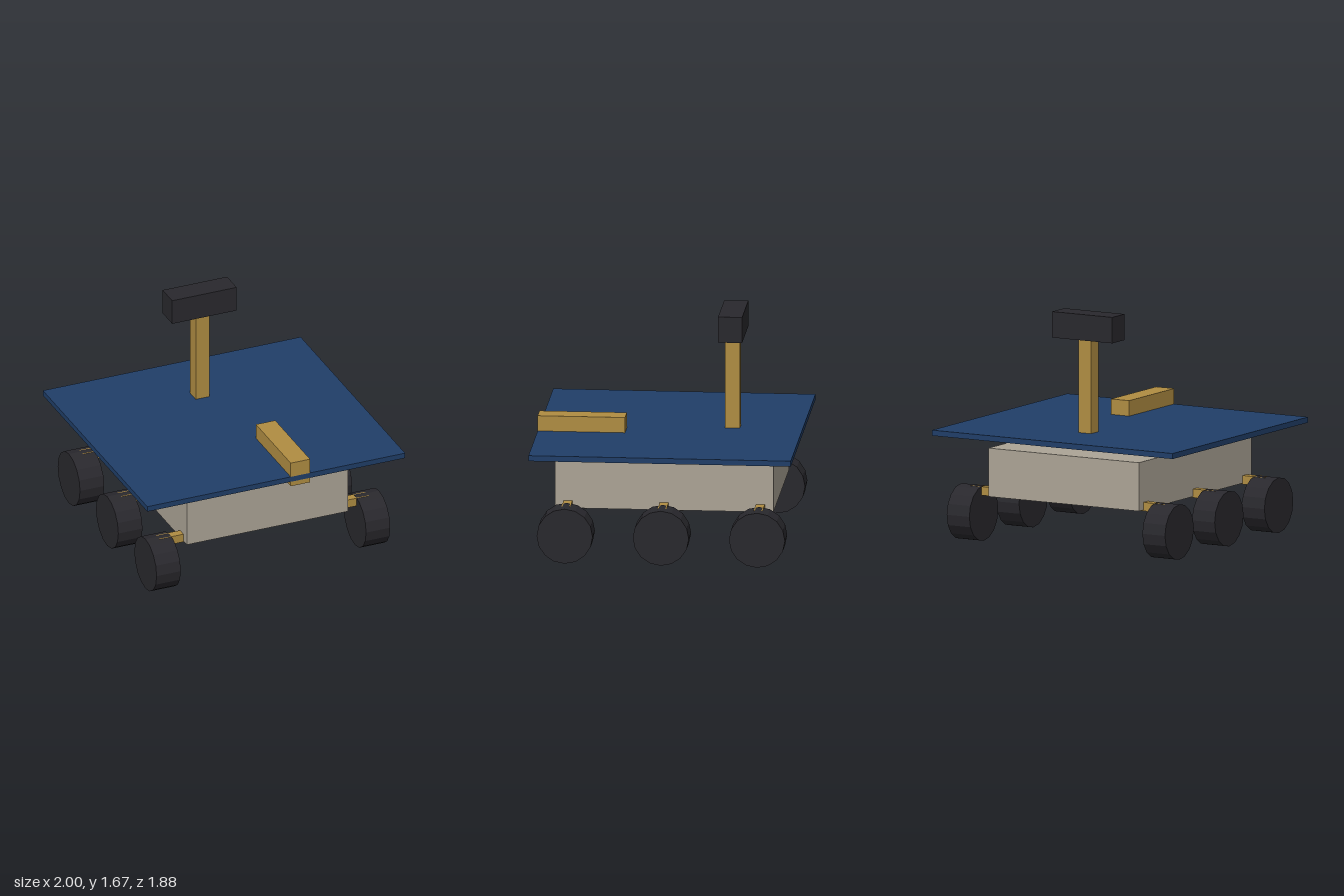
import * as THREE from 'three';

const material = (color) => new THREE.MeshStandardMaterial({ color, flatShading: true });

export function createModel() {
  const group = new THREE.Group();
  const grey = material(0xaca496);
  const gold = material(0xb08d42);
  const blue = material(0x203e68);
  const black = material(0x29282d);

  const add = (name, geometry, mat, x, y, z) => {
    const mesh = new THREE.Mesh(geometry, mat);
    mesh.name = name;
    mesh.position.set(x, y, z);
    group.add(mesh);
    return mesh;
  };
  const box = (name, mat, [w, h, d], [x, y, z]) =>
    add(name, new THREE.BoxGeometry(w, h, d), mat, x, y, z);

  // Chassis and solar deck
  box('body', grey, [1.25, 0.35, 1.56], [0, 0.515, 0]);
  box('solarPanel', blue, [2, 0.04, 1.875], [0, 0.79, 0]);

  // Camera mast at the rear
  box('mast', gold, [0.105, 0.8, 0.105], [0, 1.09, -0.4375]);
  box('cameraHead', black, [0.5, 0.1875, 0.172], [0, 1.577, -0.4375]);

  // Instrument arm at the front left
  box('arm', gold, [0.15, 0.1875, 0.625], [0.1875, 0.828, 0.625]);

  // Three wheels per side, each on a strut running under the body
  const wheelGeometry = new THREE.CylinderGeometry(0.2, 0.2, 0.1875, 16).rotateZ(Math.PI / 2);
  for (const side of [1, -1]) {
    for (const z of [0.6875, 0, -0.6875]) {
      add('wheel', wheelGeometry, black, side * 0.8125, 0.2, z);
      box('strut', gold, [0.53, 0.0625, 0.0625], [side * 0.547, 0.364, z]);
    }
  }

  return group;
}
